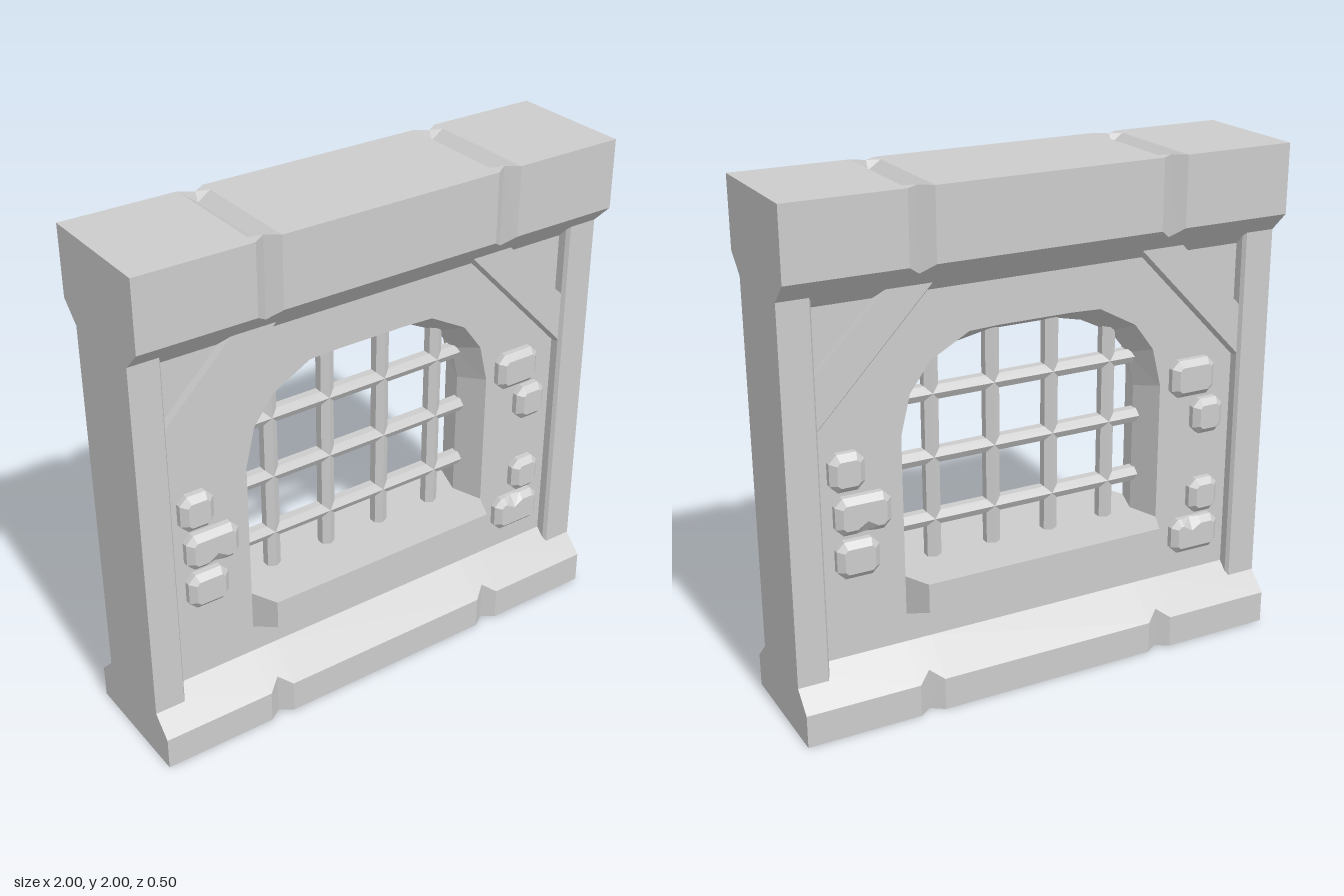
import * as THREE from 'three';

const material = new THREE.MeshStandardMaterial({ color: 0xcccccc, flatShading: true });

function mesh(name, geometry) {
  const m = new THREE.Mesh(geometry, material);
  m.name = name;
  return m;
}

// Skin rings of [x, y, z] points, counter-clockwise seen from +z and running toward +z
function loft(rings, capped = true) {
  const pos = [];
  const tri = (a, b, c) => pos.push(...a, ...b, ...c);
  const n = rings[0].length;
  for (let i = 0; i < rings.length - 1; i++) {
    for (let j = 0; j < n; j++) {
      const k = (j + 1) % n;
      const [a, b, c, d] = [rings[i][j], rings[i][k], rings[i + 1][k], rings[i + 1][j]];
      tri(a, b, c);
      tri(a, c, d);
    }
  }
  const cap = (ring, flip) => {
    const flat = ring.map(([x, y]) => new THREE.Vector2(x, y));
    for (const [a, b, c] of THREE.ShapeUtils.triangulateShape(flat, [])) {
      if (flip) tri(ring[a], ring[c], ring[b]);
      else tri(ring[a], ring[b], ring[c]);
    }
  };
  if (capped) {
    cap(rings[0], true);
    cap(rings[rings.length - 1], false);
  }
  const g = new THREE.BufferGeometry();
  g.setAttribute('position', new THREE.Float32BufferAttribute(pos, 3));
  g.computeVertexNormals();
  return g;
}

const at = (points, z) => points.map(([x, y]) => [x, y, z]);

// Beam along x whose section is pinched at the two block joints
function beam(name, plain, pinched) {
  const rings = [-1, -0.55, -0.5, -0.45, 0.45, 0.5, 0.55, 1].map(
    (x) => at(Math.abs(x) === 0.5 ? pinched : plain, x));
  return mesh(name, loft(rings).rotateY(Math.PI / 2));
}

// Raised stone with clipped corners; chip = [edge (-1 bottom, 1 top), x offset]
function stone(x, y, w, h, chip) {
  const ring = (inset, z, front) => {
    const a = w / 2 - inset, b = h / 2 - inset, c = front ? 0.012 : 0.03;
    const notch = (side) => {
      if (!chip || chip[0] !== side) return [];
      const mid = front ? [chip[1], side * (b - 0.025), z] : [chip[1], side * b, z - 0.01];
      return [[chip[1] + side * 0.04, side * b, z], mid, [chip[1] - side * 0.04, side * b, z]];
    };
    return [
      [-a + c, -b, z], ...notch(-1), [a - c, -b, z], [a, -b + c, z], [a, b - c, z],
      [a - c, b, z], ...notch(1), [-a + c, b, z], [-a, b - c, z], [-a, -b + c, z],
    ].map((p) => [p[0] + x, p[1] + y, p[2]]);
  };
  return mesh('wallStone', loft([ring(0, 0.11), ring(0, 0.148), ring(0.024, 0.17, true)]));
}

// Arched outline from its right-hand points, bottom to top
const arch = (right) => [...right, ...right.map(([x, y]) => [-x, y]).reverse()];

function createFace() {
  const face = new THREE.Group();
  face.name = 'wallFace';

  // Wall panel with a tapering arched window
  const outer = arch([[0.545, 0.45], [0.545, 1.08], [0.507, 1.235], [0.425, 1.345], [0.27, 1.43], [0.15, 1.435]]);
  const inner = arch([[0.502, 0.45], [0.502, 1.05], [0.47, 1.19], [0.39, 1.29], [0.26, 1.355], [0.15, 1.38]]);
  const toVec = (pts) => pts.map(([x, y]) => new THREE.Vector2(x, y));
  const panel = new THREE.Shape(toVec([[-0.9, 0.2], [0.9, 0.2], [0.9, 1.65], [-0.9, 1.65]]));
  panel.holes.push(new THREE.Path(toVec(outer)));
  face.add(mesh('wallPanel', new THREE.ShapeGeometry(panel).translate(0, 0, 0.125)));
  face.add(mesh('windowReveal', loft([at([...inner].reverse(), 0), at([...outer].reverse(), 0.125)], false)));

  // Window sill, narrowing toward its front
  const sill = (w, y) => [[-w, y], [w, y], [w, 0.525], [-w, 0.525]];
  face.add(mesh('windowSill', loft([
    at(sill(0.545, 0.37), 0), at(sill(0.545, 0.37), 0.125), at(sill(0.497, 0.41), 0.227)])));

  // Side post with slightly bevelled inner edges
  const post = [[1, -0.175], [1, 0.175], [0.882, 0.175], [0.872, 0.16], [0.872, -0.16], [0.882, -0.175]];
  face.add(mesh('sidePost', loft([at(post, 0.1), at(post, 1.8)]).rotateX(-Math.PI / 2)));

  // Corner braces, bevelled on the lower edge
  for (const s of [-1, 1]) {
    const brace = (d, z) => {
      const pts = [[0.89, 1.14 + d], [0.89, 1.353], [0.60, 1.642], [0.41 + d, 1.642]].map(([x, y]) => [s * x, y]);
      return at(s > 0 ? pts : pts.reverse(), z);
    };
    face.add(mesh('cornerBrace', loft([brace(0, 0.1), brace(0, 0.145), brace(0.014, 0.16)])));
  }

  // Scattered raised stones
  [
    [-0.765, 0.995, 0.135, 0.145],
    [-0.71, 0.825, 0.215, 0.145, [-1, 0.01]],
    [-0.735, 0.655, 0.165, 0.145],
    [0.68, 1.1, 0.19, 0.15],
    [0.755, 0.93, 0.135, 0.145],
    [0.75, 0.59, 0.13, 0.145],
    [0.715, 0.425, 0.215, 0.145, [1, -0.02]],
  ].forEach((args) => face.add(stone(...args)));
  return face;
}

export function createModel() {
  const model = new THREE.Group();
  model.name = 'barredWindowWall';

  // Top beam and base, with V grooves at the block joints
  const topBeam = (e, dip) => [
    [-0.125, 1.605], [0.125, 1.605], [e, 1.48 + e], [e, 2], [0.2, 2 - dip],
    [-0.2, 2 - dip], [-e, 2], [-e, 1.48 + e]];
  const base = (e) => [[-e, 0], [e, 0], [e, 0.38 - e], [0.125, 0.255], [-0.125, 0.255], [-e, 0.38 - e]];
  model.add(beam('topBeam', topBeam(0.25, 0), topBeam(0.215, 0.035)));
  model.add(beam('base', base(0.25), base(0.215)));

  // The two faces are half-turn copies
  const front = createFace();
  const back = front.clone();
  back.rotation.y = Math.PI;
  model.add(front, back);

  // Hexagonal window bars
  const bar = (length) => new THREE.CylinderGeometry(0.033, 0.033, length, 6);
  for (const x of [-0.375, -0.125, 0.125, 0.375]) {
    const top = Math.abs(x) > 0.2 ? 1.33 : 1.4;
    model.add(mesh('verticalBar', bar(top - 0.5).translate(x, (top + 0.5) / 2, 0)));
  }
  for (const y of [0.68, 0.93, 1.18]) {
    const length = y > 1 ? 0.98 : 1.03;
    model.add(mesh('horizontalBar', bar(length).rotateZ(Math.PI / 2).translate(0, y, 0)));
  }
  return model;
}
